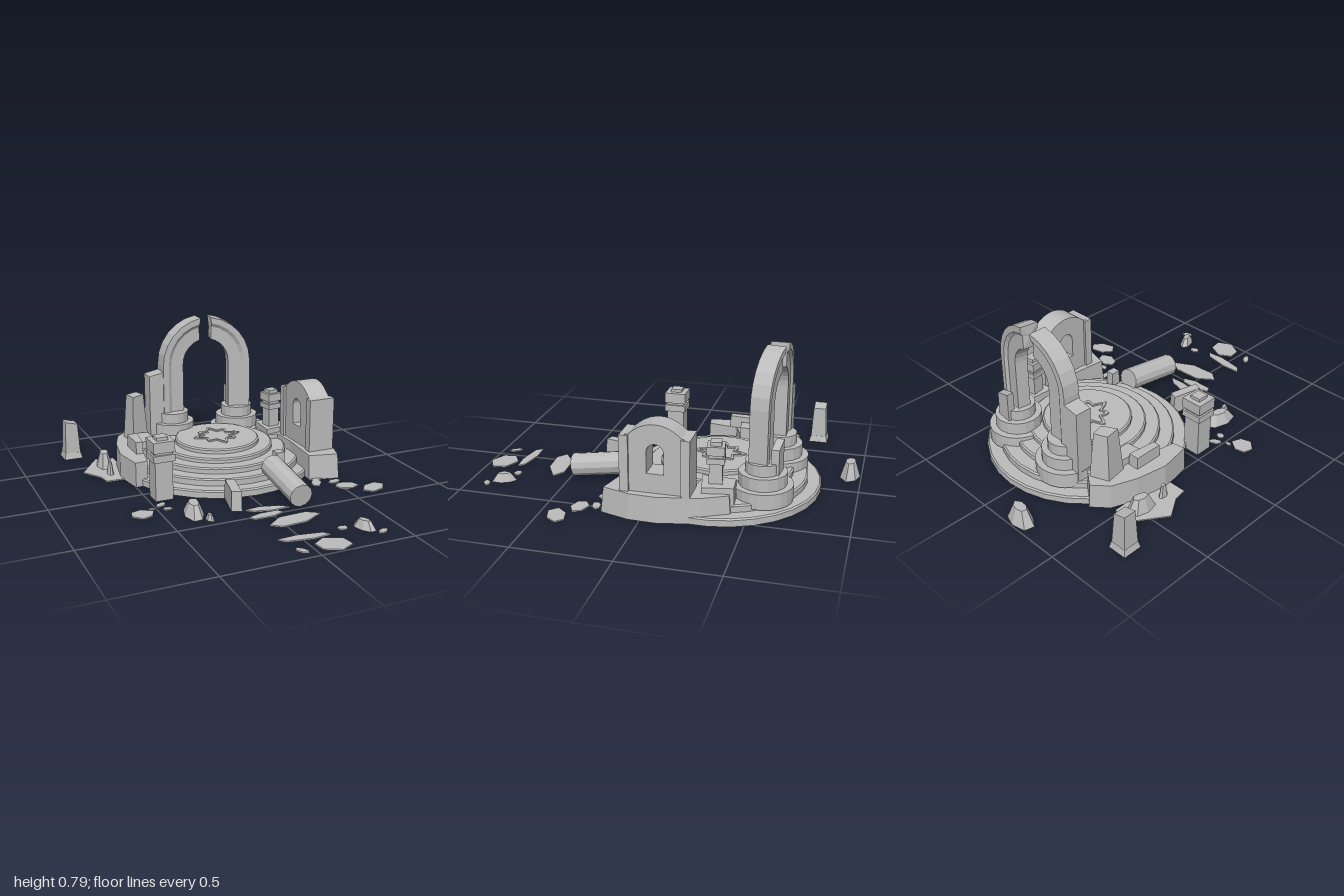
import * as THREE from 'three';

const stone = new THREE.MeshStandardMaterial({ color: 0xbcbcbc, flatShading: true, side: THREE.DoubleSide });
stone.name = 'grey stone';

const CX = 0.04, CZ = -0.28; // centre of the round platform

// Irregular outline (x, z pairs) on a turned ellipse
function shard(x, z, a, b, turn, n, seed) {
  const pts = [];
  for (let i = 0; i < n; i++) {
    const t = ((i + 0.25) / n) * Math.PI * 2;
    const r = 1.08 - 0.2 * Math.abs(Math.sin(i * 2.3 + seed * 1.7));
    const u = a * r * Math.cos(t), v = b * r * Math.sin(t);
    pts.push(x + u * Math.cos(turn) - v * Math.sin(turn), z + u * Math.sin(turn) + v * Math.cos(turn));
  }
  return pts;
}

export function createModel() {
  const root = new THREE.Group();
  root.name = 'ruinedShrine';

  const add = (name, geo, x = 0, y = 0, z = 0, parent = root) => {
    const m = new THREE.Mesh(geo, stone);
    m.name = name;
    m.position.set(x, y, z);
    parent.add(m);
    return m;
  };

  // Prism on an outline of x, z pairs; the top shrinks by taper and leans by slope
  const prism = (name, pts, y0, y1, taper = 1, slope = 0) => {
    const v = [];
    for (let i = 0; i < pts.length; i += 2) v.push(new THREE.Vector2(pts[i], -pts[i + 1]));
    const c = v.reduce((s, p) => s.add(p), new THREE.Vector2()).divideScalar(v.length);
    const h = y1 - y0;
    const geo = new THREE.ExtrudeGeometry(new THREE.Shape(v), { depth: h, bevelEnabled: false }).rotateX(-Math.PI / 2);
    const p = geo.attributes.position;
    for (let i = 0; i < p.count; i++) {
      if (p.getY(i) < h / 2) continue;
      p.setX(i, c.x + (p.getX(i) - c.x) * taper);
      p.setZ(i, -c.y + (p.getZ(i) + c.y) * taper);
      p.setY(i, h - slope * (p.getX(i) - c.x));
    }
    geo.computeVertexNormals();
    return add(name, geo, 0, y0, 0);
  };

  // Stack of boxes on one axis, each [width, bottom, top]
  const stack = (name, x, z, layers, turn = 0) => {
    const g = new THREE.Group();
    g.name = name;
    g.position.set(x, 0, z);
    g.rotation.y = turn;
    layers.forEach(([w, a, b], i) => add(name + 'Block' + (i + 1), new THREE.BoxGeometry(w, b - a, w), 0, (a + b) / 2, 0, g));
    root.add(g);
  };

  // Stepped platform, hollow underneath
  const steps = [[0.53, 0.04], [0.46, 0.078], [0.385, 0.11], [0.31, 0.136], [0.235, 0.162]];
  const profile = [];
  steps.forEach(([r, y], i) => {
    profile.push(new THREE.Vector2(r, i ? steps[i - 1][1] : 0));
    profile.push(new THREE.Vector2(r, y - 0.007), new THREE.Vector2(r - 0.008, y));
  });
  profile.push(new THREE.Vector2(0, 0.162));
  add('steppedPlatform', new THREE.LatheGeometry(profile, 30), CX, 0, CZ);

  // Star medallion: pointed on the axes, lobed between them
  const star = (s) => {
    const pts = [];
    for (let i = 0; i < 48; i++) {
      const a = (i / 48) * Math.PI * 2;
      const point = 0.139 / (Math.abs(Math.cos(a)) + Math.abs(Math.sin(a)));
      const lobe = 0.098 + 0.016 * Math.cos(8 * a);
      const r = Math.max(point * Math.abs(Math.cos(2 * a)), lobe) * s;
      pts.push(new THREE.Vector2(r * Math.cos(a), r * Math.sin(a)));
    }
    return pts;
  };
  const rim = new THREE.Shape(star(1));
  rim.holes.push(new THREE.Path(star(0.82)));
  add('starMedallion', new THREE.ExtrudeGeometry(rim, { depth: 0.008, bevelEnabled: false }).rotateX(-Math.PI / 2), CX, 0.162, CZ);

  // Round bases below the arch legs
  for (const [x, z] of [[-0.115, -0.567], [0.28, -0.545]]) {
    const layers = [[0.155, 0.05, 0.13, 24], [0.122, 0.1, 0.195, 16], [0.09, 0.19, 0.252, 16]];
    for (const [r, a, b, n] of layers) add('archBase', new THREE.CylinderGeometry(r, r, b - a, n), x, (a + b) / 2, z);
  }

  // Half arch: a moulded section of [inset, z] swept up the leg and round the curve
  const halfSection = [[0, 0.048], [0.033, 0.048], [0.052, 0.035], [0.125, 0.035]];
  const section = [...halfSection, ...halfSection.map(([d, z]) => [d, -z]).reverse()];
  const halfArch = (end) => {
    const pos = [], idx = [], n = section.length, rows = 8;
    for (let i = 0; i < rows; i++) {
      for (const [d, z] of section) {
        const r = 0.265 - d;
        const t = i ? ((i - 1) / (rows - 2)) * (end - 1.1 * d) : 0;
        pos.push(-r * Math.cos(t), i ? 0.525 + r * Math.sin(t) : 0.24, z);
      }
    }
    for (let i = 0; i < rows - 1; i++) {
      for (let j = 0; j < n; j++) {
        const a = i * n + j, b = i * n + (j + 1) % n;
        idx.push(a, b, b + n, a, b + n, a + n);
      }
    }
    // Broken end
    const top = (rows - 1) * n, c = rows * n;
    pos.push(-0.205 * Math.cos(end - 0.02), 0.525 + 0.205 * Math.sin(end - 0.02), 0);
    for (let j = 0; j < n; j++) idx.push(c, top + j, top + (j + 1) % n);
    const geo = new THREE.BufferGeometry();
    geo.setAttribute('position', new THREE.Float32BufferAttribute(pos, 3));
    geo.setIndex(idx);
    geo.computeVertexNormals();
    return geo;
  };
  add('archRightHalf', halfArch(1.44), 0.083, 0, -0.572);
  add('archLeftHalf', halfArch(1.44), 0.083, 0, -0.572).rotation.y = Math.PI - 0.17;

  // Broken shafts beside the arch
  prism('shaftBesideArch', [-0.265, -0.62, -0.18, -0.62, -0.18, -0.53, -0.265, -0.53], 0.08, 0.485, 1, -0.2);
  prism('shaftBehindArch', [0.24, -0.64, 0.33, -0.63, 0.33, -0.59, 0.24, -0.6], 0.08, 0.34, 1, 0.3);

  // Window wall on its curved footing
  prism('wallFooting', [0.49, -0.43, 0.555, -0.3, 0.6, -0.08, 0.595, 0.06, 0.55, 0.21, 0.39, 0.17, 0.41, -0.1, 0.4, -0.24, 0.34, -0.25, 0.37, -0.42], 0, 0.135, 0.96);
  const wall = new THREE.Shape();
  wall.moveTo(-0.172, 0.1);
  wall.lineTo(0.172, 0.1);
  wall.lineTo(0.172, 0.42);
  wall.lineTo(0.13, 0.43);
  wall.quadraticCurveTo(0.07, 0.488, 0, 0.488);
  wall.quadraticCurveTo(-0.07, 0.488, -0.13, 0.43);
  wall.lineTo(-0.172, 0.42);
  const win = new THREE.Path();
  win.moveTo(-0.043, 0.235);
  win.lineTo(-0.043, 0.345);
  win.absarc(0, 0.345, 0.043, Math.PI, 0, true);
  win.lineTo(0.043, 0.235);
  wall.holes.push(win);
  add('windowWall', new THREE.ExtrudeGeometry(wall, { depth: 0.12, bevelEnabled: false, curveSegments: 6 }).rotateY(Math.PI / 2), 0.433, 0, -0.068);
  for (const z of [0.085, -0.22]) add('wallPilaster', new THREE.BoxGeometry(0.146, 0.31, 0.045), 0.493, 0.27, z);

  // Block behind the wall and its small pillar
  prism('stepBlock', [0.35, -0.43, 0.47, -0.44, 0.5, -0.28, 0.34, -0.25], 0.04, 0.165, 0.96);
  stack('smallPillar', 0.405, -0.335, [[0.066, 0.1, 0.27], [0.088, 0.27, 0.3], [0.07, 0.3, 0.315], [0.088, 0.315, 0.36], [0.055, 0.36, 0.38]], 0.15);

  // Broken rim wall on the other side, with blocks on it
  prism('rimWall', [-0.37, -0.65, -0.45, -0.58, -0.5, -0.45, -0.53, -0.28, -0.5, -0.105, -0.43, -0.115, -0.4, -0.28, -0.3, -0.32, -0.31, -0.5, -0.28, -0.58], 0, 0.135, 0.98);
  prism('rimBlock', [-0.38, -0.47, -0.31, -0.46, -0.3, -0.32, -0.39, -0.31], 0.1, 0.175);
  prism('narrowBlock', [-0.45, -0.4, -0.39, -0.4, -0.41, -0.24, -0.45, -0.24], 0.1, 0.2, 0.95);
  prism('standingStone', [-0.42, -0.56, -0.32, -0.6, -0.29, -0.5, -0.4, -0.44], 0.1, 0.385, 0.68);

  // Free-standing pillars
  stack('frontPillar', -0.423, 0.073, [[0.095, 0, 0.21], [0.116, 0.21, 0.247], [0.095, 0.247, 0.26], [0.116, 0.26, 0.318], [0.06, 0.318, 0.335]]);
  const square = (x, z, h) => [x - h, z - h, x + h, z - h, x + h, z + h, x - h, z + h];
  prism('backPillarFoot', square(-0.687, -0.72, 0.052), 0, 0.035, 0.84);
  prism('backPillar', square(-0.687, -0.72, 0.043), 0.03, 0.21, 0.8, 0.25);

  // Fallen column drum, block and chip by the steps
  const drum = add('fallenColumn', new THREE.CylinderGeometry(0.062, 0.062, 0.335, 12), 0.17, 0.088, 0.32);
  drum.rotation.x = Math.PI / 2 + 0.15;
  add('stepChip', new THREE.BoxGeometry(0.045, 0.08, 0.052), 0.237, 0.125, 0.1);
  prism('fallenBlock', [-0.13, 0.21, -0.08, 0.23, -0.12, 0.41, -0.17, 0.39], 0, 0.105, 0.92);

  // Rocks: x, z, half length, half width, turn, height
  const rocks = [
    [-0.205, -0.94, 0.09, 0.06, 0, 0.085], [-0.56, -0.49, 0.05, 0.085, 0.1, 0.085],
    [-0.57, -0.34, 0.018, 0.032, 0, 0.075], [-0.35, 0.335, 0.055, 0.105, 0.1, 0.062],
    [0.33, 0.825, 0.036, 0.068, -0.3, 0.045], [-0.305, 0.435, 0.02, 0.036, -0.2, 0.03],
  ];
  rocks.forEach(([x, z, a, b, t, h], i) => prism('rock' + (i + 1), shard(x, z, a, b, t, 7, i), 0, h, 0.5));

  // Flat paving fragments on the ground: x, z, half length, half width, turn
  prism('groundSlab', [-0.7, -0.42, -0.58, -0.6, -0.48, -0.58, -0.48, -0.24, -0.62, -0.24, -0.63, -0.31], 0, 0.007);
  const fragments = [
    [0, 0.437, 0.115, 0.03, 0.15], [-0.03, 0.505, 0.105, 0.032, -0.05], [0.065, 0.61, 0.155, 0.058, -0.2],
    [0.02, 0.808, 0.145, 0.032, 0.12], [0.1, 0.925, 0.095, 0.072, 0.2], [-0.06, 0.93, 0.04, 0.02, 1],
    [0.23, 0.79, 0.03, 0.022, 0], [0.39, 0.897, 0.032, 0.02, -0.5], [-0.59, 0.25, 0.065, 0.055, 0.5],
    [-0.525, 0.21, 0.02, 0.012, 0], [-0.465, 0.175, 0.038, 0.02, -0.5], [-0.45, 0.235, 0.025, 0.02, 0],
    [0.4, 0.23, 0.055, 0.03, -1], [0.43, 0.18, 0.04, 0.023, -0.2], [0.5, 0.25, 0.042, 0.025, -0.2],
    [0.525, 0.33, 0.068, 0.045, 0.1], [0.65, 0.405, 0.08, 0.055, -0.4],
  ];
  fragments.forEach(([x, z, a, b, t], i) => prism('pavingFragment' + (i + 1), shard(x, z, a, b, t, 6, i), 0, 0.007));

  return root;
}
